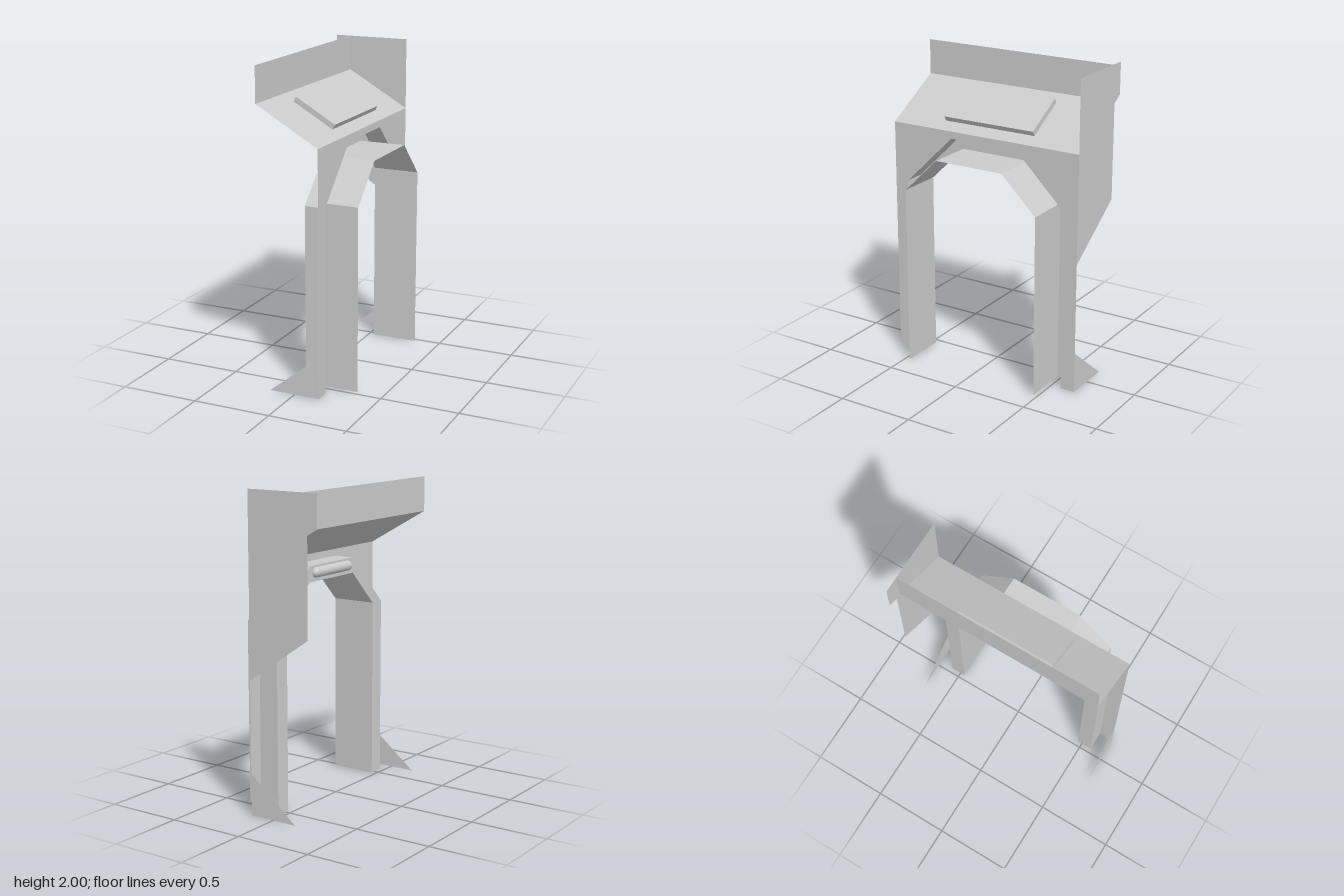
import * as THREE from 'three';

const material = new THREE.MeshStandardMaterial({ color: 0xcccccc, side: THREE.DoubleSide });
const HALF = 0.665;   // half width along z
const FRONT = 0.165;  // x of the front panel
const BACK = 0.033;   // x of the bottom of the groove

// Arch outline in (z, y), foot to foot
const outerArch = [[-0.57, 0], [-0.57, 1.17], [-0.235, 1.5], [0.235, 1.5], [0.57, 1.17], [0.57, 0]];
const innerArch = [[-0.47, 0], [-0.47, 1.17], [-0.235, 1.4], [0.235, 1.4], [0.47, 1.17], [0.47, 0]];

function add(group, name, geometry) {
  const mesh = new THREE.Mesh(geometry, material);
  mesh.name = name;
  group.add(mesh);
  return mesh;
}

function flat(points) {
  return new THREE.ShapeGeometry(new THREE.Shape(points.map(([a, b]) => new THREE.Vector2(a, b))));
}

// Thin folded sheet: a polyline swept straight between two copies of itself
function sheet(from, to) {
  const pos = [];
  for (let i = 0; i + 1 < from.length; i++) {
    const [a, b, c, d] = [from[i], from[i + 1], to[i + 1], to[i]];
    pos.push(...a, ...b, ...c, ...a, ...c, ...d);
  }
  const geometry = new THREE.BufferGeometry();
  geometry.setAttribute('position', new THREE.Float32BufferAttribute(pos, 3));
  geometry.computeVertexNormals();
  return geometry;
}

const archSheet = (arch, x0, x1) =>
  sheet(arch.map(([z, y]) => [x1, y, z]), arch.map(([z, y]) => [x0, y, z]));

export function createModel() {
  const group = new THREE.Group();

  // Front panel with the arch cut out
  add(group, 'frontPanel', flat([[-HALF, 0], [-HALF, 1.545], [HALF, 1.545], [HALF, 0],
    ...outerArch.slice().reverse()]).rotateY(Math.PI / 2)).position.x = FRONT;

  // Groove around the arch and the lining that sticks out of it
  add(group, 'grooveWall', archSheet(outerArch, BACK, FRONT));
  add(group, 'grooveBase', flat([...outerArch, ...innerArch.slice().reverse()])
    .rotateY(Math.PI / 2)).position.x = BACK;
  add(group, 'archLining', archSheet(innerArch, BACK, 0.333));

  // Sloped desk and upright board above it
  const desk = [[FRONT, 1.545], [-0.235, 1.775], [-0.235, 2]];
  add(group, 'slopedTop', sheet(desk.map(([x, y]) => [x, y, HALF]), desk.map(([x, y]) => [x, y, -HALF])));

  // Raised screen lying on the slope
  const screen = add(group, 'screen', new THREE.BoxGeometry(0.298, 0.035, 0.64));
  screen.position.set(-0.025, 1.676, 0);
  screen.rotation.z = -Math.atan2(0.23, 0.4);

  // Single side plate
  add(group, 'sidePlate', flat([[FRONT, 2], [-0.333, 2], [-0.333, 1.795], [-0.265, 1.755],
    [-0.265, 1.145], [FRONT, 0.85]])).position.z = -HALF;

  // Triangular feet
  for (const side of [-1, 1]) {
    add(group, side > 0 ? 'frontFoot' : 'backFoot',
      flat([[FRONT, 0], [FRONT, 0.265], [-0.165, 0]])).position.z = side * HALF;
  }

  // Half-round lamp with domed ends behind the arch top
  const r = 0.033, profile = [];
  for (let i = 0; i <= 12; i++) {
    const a = -Math.PI / 2 + (i < 6 ? i : i - 1) * Math.PI / 11;
    profile.push(new THREE.Vector2(Math.max(0, r * Math.cos(a)), r * Math.sin(a) + (i < 6 ? -0.17 : 0.17)));
  }
  add(group, 'lamp', new THREE.LatheGeometry(profile, 12, Math.PI, Math.PI).rotateX(Math.PI / 2))
    .position.set(BACK, 1.455, 0);

  return group;
}
